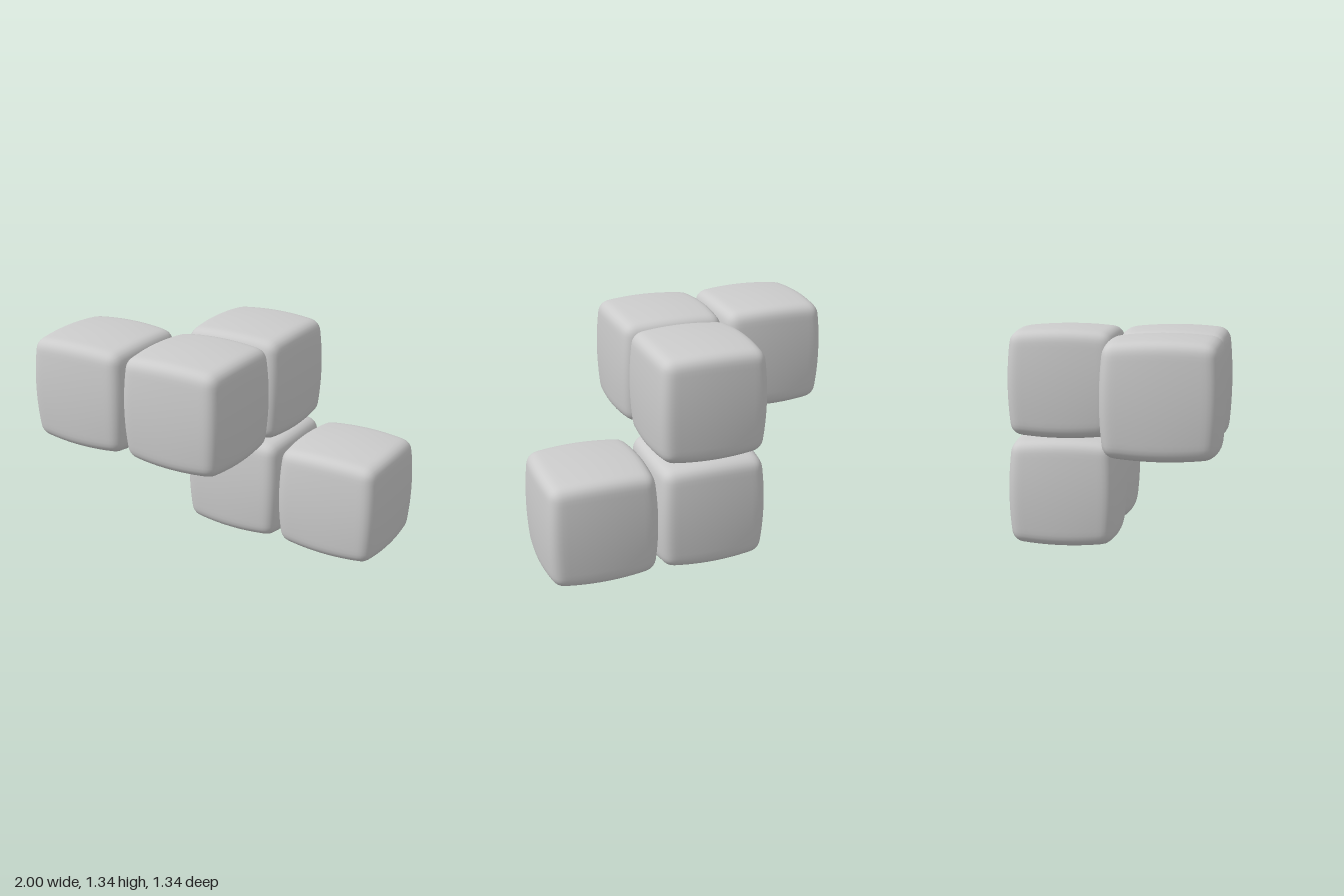
import * as THREE from 'three';
import { mergeVertices } from 'three/addons/utils/BufferGeometryUtils.js';

const HALF = 0.338;   // half size of one block, measured at its face centres
const PITCH = 0.662;  // spacing between block centres (blocks overlap slightly)
const RADIUS = 0.065; // edge rounding
const BULGE = 0.058;  // how far faces fall away towards the edges

// Pillow-like cube: rounded edges and gently domed faces
function createBlockGeometry() {
  const box = new THREE.BoxGeometry(2, 2, 2, 24, 24, 24);
  box.deleteAttribute('normal');
  box.deleteAttribute('uv');
  const geometry = mergeVertices(box);
  const position = geometry.attributes.position;
  const p = new THREE.Vector3();
  const inner = new THREE.Vector3();
  const spread = (t) => HALF * Math.sin(t * Math.PI / 2); // denser near the edges
  const limit = HALF - RADIUS;

  for (let i = 0; i < position.count; i++) {
    p.fromBufferAttribute(position, i);
    p.set(spread(p.x), spread(p.y), spread(p.z));

    // round the edges and corners
    inner.copy(p).clampScalar(-limit, limit);
    p.sub(inner).setLength(RADIUS).add(inner);

    // dome the faces
    const [a, b, c] = p.toArray().map((v) => (v / HALF) ** 2);
    p.set(
      p.x * (1 - BULGE * (b + c)),
      p.y * (1 - BULGE * (a + c)),
      p.z * (1 - BULGE * (a + b)),
    );
    position.setXYZ(i, p.x, p.y, p.z);
  }
  geometry.computeVertexNormals();
  return geometry;
}

export function createModel() {
  const model = new THREE.Group();
  model.name = 'blockPiece';
  const geometry = createBlockGeometry();
  const material = new THREE.MeshStandardMaterial({ color: 0xcccccc });

  // Grid cells: column (x), level (y), row (z)
  const blocks = {
    upperFrontRightBlock: [-1, 1, 0.5],
    upperFrontMiddleBlock: [0, 1, 0.5],
    upperBackMiddleBlock: [0, 1, -0.5],
    lowerBackMiddleBlock: [0, 0, -0.5],
    lowerBackLeftBlock: [1, 0, -0.5],
  };
  for (const [name, [x, y, z]] of Object.entries(blocks)) {
    const block = new THREE.Mesh(geometry, material);
    block.name = name;
    block.position.set(x * PITCH, HALF + y * PITCH, z * PITCH);
    model.add(block);
  }
  return model;
}
